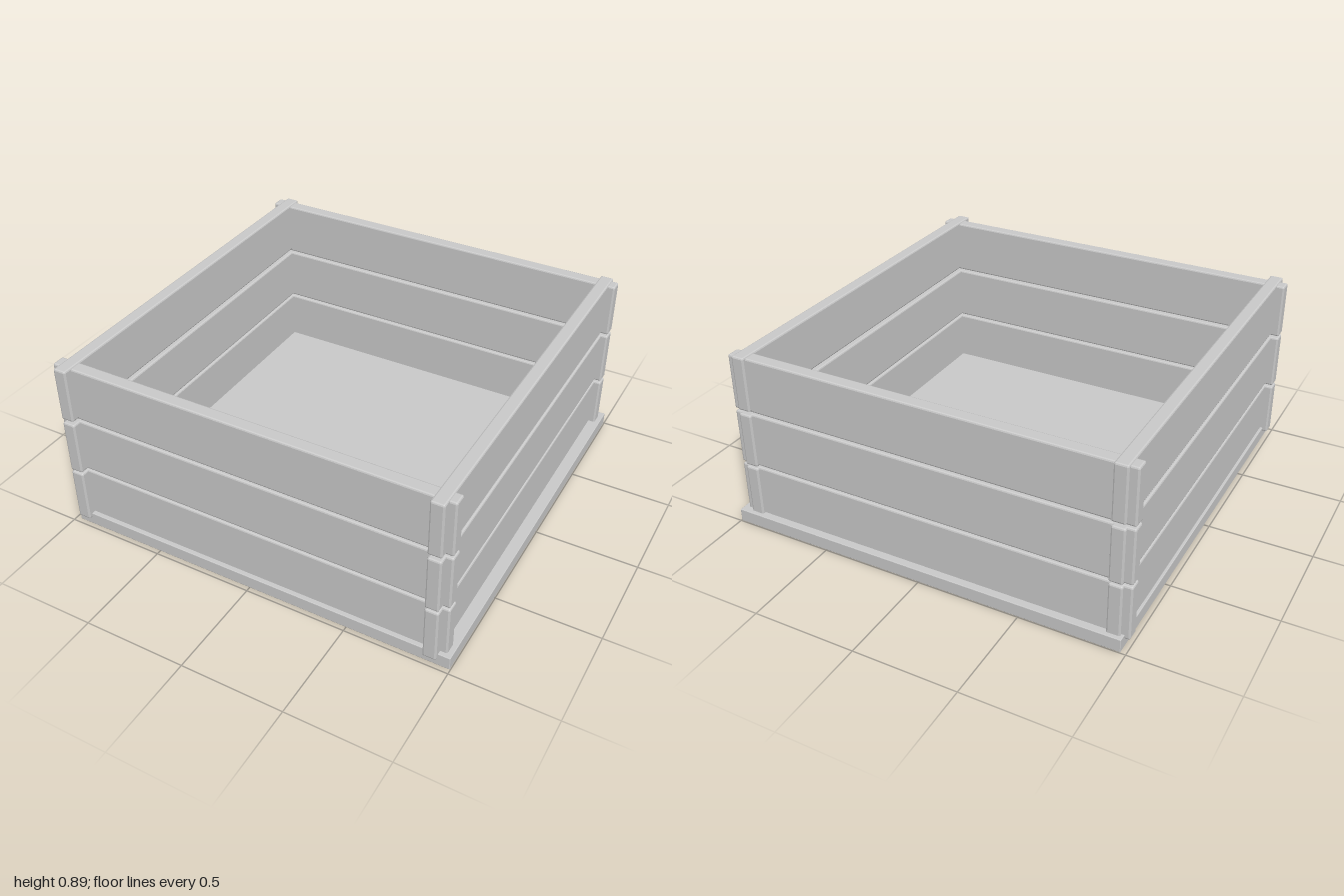
import * as THREE from 'three';
import { RoundedBoxGeometry } from 'three/addons/geometries/RoundedBoxGeometry.js';

export function createModel() {
  const group = new THREE.Group();
  const material = new THREE.MeshStandardMaterial({ color: 0xcccccc, flatShading: true });

  // Slightly chamfered board given by its min and max corners
  function board(name, min, max, chamfer) {
    const size = max.map((v, i) => v - min[i]);
    const mesh = new THREE.Mesh(new RoundedBoxGeometry(...size, 1, chamfer), material);
    mesh.position.set(...max.map((v, i) => (v + min[i]) / 2));
    mesh.name = name;
    group.add(mesh);
  }

  // Floor panel
  board('floor', [-0.975, 0, -0.997], [0.997, 0.065, 0.977], 0.003);

  // Three rows of planks, crossing at the corners
  const rows = [
    { name: 'lower', x: [0.045, 0.316], z: [0.043, 0.316] },
    { name: 'middle', x: [0.327, 0.6], z: [0.327, 0.6] },
    { name: 'upper', x: [0.612, 0.885], z: [0.62, 0.892] },
  ];
  for (const { name, x: [x0, x1], z: [z0, z1] } of rows) {
    // Planks running left to right
    board(name + 'FrontPlank', [-1, x0, 0.89], [0.973, x1, 0.955], 0.008);
    board(name + 'BackPlank', [-1, x0, -0.96], [0.973, x1, -0.895], 0.008);
    // Planks running front to back
    board(name + 'RightPlank', [-0.962, z0, -0.977], [-0.897, z1, 0.997], 0.008);
    board(name + 'LeftPlank', [0.875, z0, -0.977], [0.94, z1, 0.997], 0.008);
  }
  return group;
}
